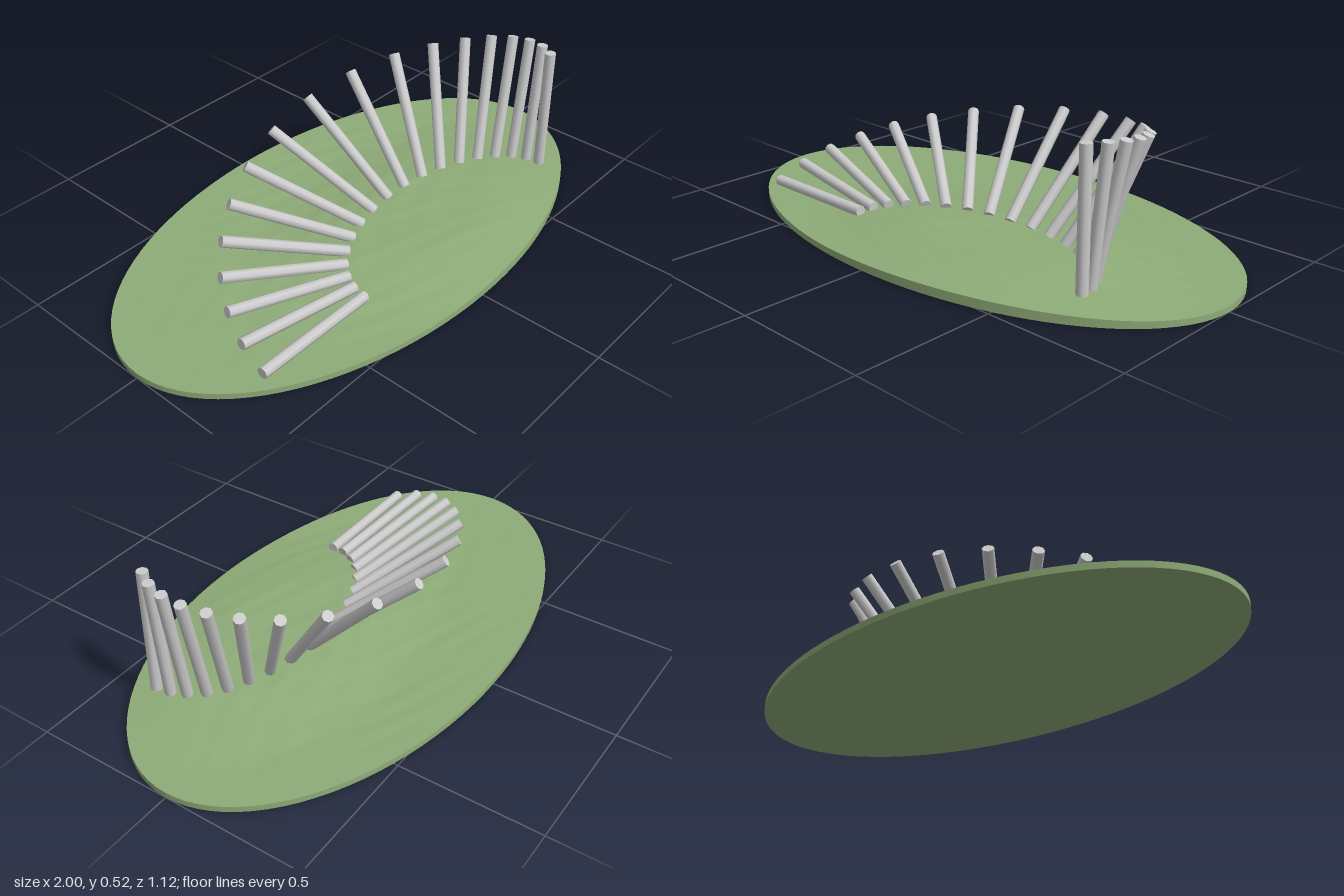
import * as THREE from 'three';
import { mergeGeometries } from 'three/addons/utils/BufferGeometryUtils.js';

const RX = 1, RZ = 0.56;            // ground ellipse
const SEGMENTS = 96, RINGS = 36;
const POSTS = 18, LENGTH = 0.465, RADIUS = 0.02;

// Low mound under the arc of posts, with gentle ripples
function groundHeight(x, z) {
  const d = Math.hypot((x - 0.2) / 0.8, (z - 0.17) / 0.5);
  const mound = 1 - THREE.MathUtils.smoothstep(d, 0.3, 1);
  const fade = 1 - THREE.MathUtils.smoothstep(Math.hypot(x / RX, z / RZ), 0.85, 1);
  const ripple = Math.sin(23 * x + 3 * Math.sin(9 * z)) * Math.sin(41 * z + 2 * Math.sin(7 * x))
    + 0.6 * Math.sin(47 * x - 31 * z) * Math.sin(19 * x + 53 * z);
  return 0.021 + 0.035 * mound + 0.0015 * fade * ripple;
}

// Rings of vertices joined into a skin; point(ring, angle) returns [x, y, z]
function skin(rings, point) {
  const positions = [], index = [], row = SEGMENTS + 1;
  for (let r = 0; r <= rings; r++) {
    for (let s = 0; s <= SEGMENTS; s++) {
      positions.push(...point(r / rings, (s / SEGMENTS) * Math.PI * 2));
      if (r < rings && s < SEGMENTS) {
        const a = r * row + s, b = a + row;
        index.push(a, a + 1, b, b, a + 1, b + 1);
      }
    }
  }
  const geometry = new THREE.BufferGeometry();
  geometry.setAttribute('position', new THREE.Float32BufferAttribute(positions, 3));
  geometry.setIndex(index);
  geometry.computeVertexNormals();
  return geometry;
}

function createGround() {
  const onEllipse = (t, a) => [t * RX * Math.cos(a), t * RZ * Math.sin(a)];
  const top = skin(RINGS, (t, a) => {
    const [x, z] = onEllipse(t, a);
    return [x, groundHeight(x, z), z];
  });
  const rim = skin(1, (t, a) => {
    const [x, z] = onEllipse(1, a);
    return [x, groundHeight(x, z) * (1 - t), z];
  });
  const bottom = skin(1, (t, a) => {
    const [x, z] = onEllipse(1 - t, a);
    return [x, 0, z];
  });
  const ground = new THREE.Mesh(
    mergeGeometries([top, rim, bottom]),
    new THREE.MeshStandardMaterial({ color: 0x8fac78 })
  );
  ground.name = 'ground';
  return ground;
}

// Posts on a half ellipse, leaning outward from lying flat to upright
function createPosts() {
  const posts = new THREE.Group();
  posts.name = 'postArc';
  const material = new THREE.MeshStandardMaterial({ color: 0xcccccc });
  const geometry = new THREE.CylinderGeometry(RADIUS, RADIUS, LENGTH, 8);
  geometry.translate(0, LENGTH / 2, 0);
  const up = new THREE.Vector3(0, 1, 0);
  for (let i = 0; i < POSTS; i++) {
    const t = i / (POSTS - 1);
    const angle = Math.PI * (1 - t);
    const tilt = (Math.PI / 2) * (1 - t);
    const offset = new THREE.Vector3(0.497 * Math.cos(angle), 0, -0.28 * Math.sin(angle));
    const axis = offset.clone().normalize().multiplyScalar(Math.sin(tilt));
    axis.y = Math.cos(tilt);
    const post = new THREE.Mesh(geometry, material);
    post.name = `post${i + 1}`;
    post.position.set(0.195 + offset.x, 0.047 + 0.012 * Math.sqrt(t), 0.305 + offset.z);
    post.quaternion.setFromUnitVectors(up, axis);
    posts.add(post);
  }
  return posts;
}

export function createModel() {
  const model = new THREE.Group();
  model.name = 'leaningPostSculpture';
  model.add(createGround(), createPosts());
  return model;
}
